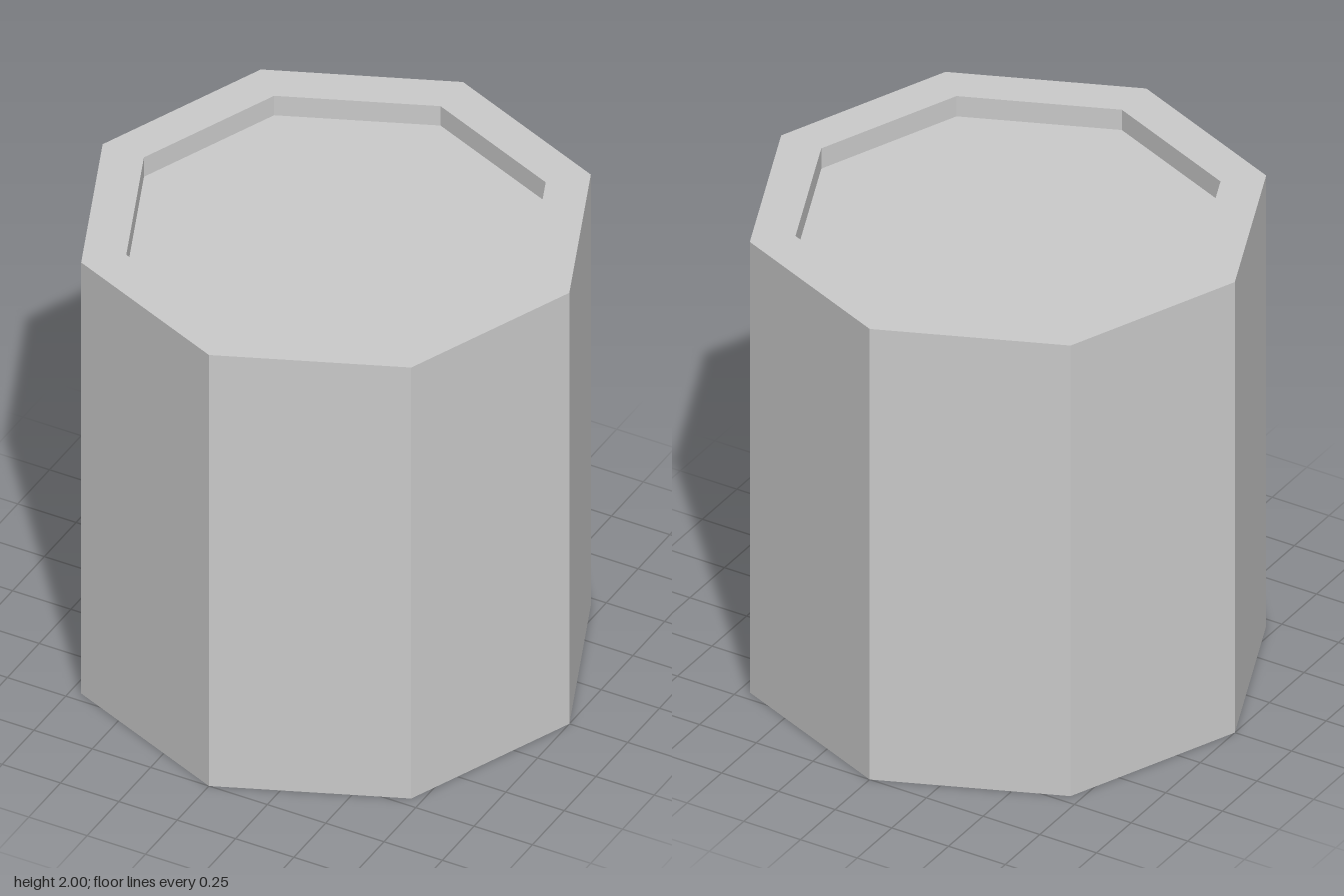
import * as THREE from 'three';

const SIDES = 8;
const HEIGHT = 2;
const OUTER_RADIUS = 1;
const INNER_RADIUS = 0.823;
const RECESS_DEPTH = 0.09;

export function createModel() {
  const group = new THREE.Group();
  group.name = 'octagonalDrum';
  const material = new THREE.MeshStandardMaterial({ color: 0xcccccc, flatShading: true });

  // Turns a [radius, height] profile into a faceted eight-sided part
  const addPart = (name, profile) => {
    const points = profile.map(([r, y]) => new THREE.Vector2(r, y));
    const geometry = new THREE.LatheGeometry(points, SIDES).toNonIndexed();
    geometry.computeVertexNormals();
    const mesh = new THREE.Mesh(geometry, material);
    mesh.name = name;
    group.add(mesh);
  };

  // Base, outer wall, rim and the inner wall of the recess
  addPart('body', [
    [0, 0],
    [OUTER_RADIUS, 0],
    [OUTER_RADIUS, HEIGHT],
    [INNER_RADIUS, HEIGHT],
    [INNER_RADIUS, HEIGHT - RECESS_DEPTH],
  ]);

  // Sunken top panel
  addPart('recessedTop', [
    [INNER_RADIUS, HEIGHT - RECESS_DEPTH],
    [0, HEIGHT - RECESS_DEPTH],
  ]);

  return group;
}
